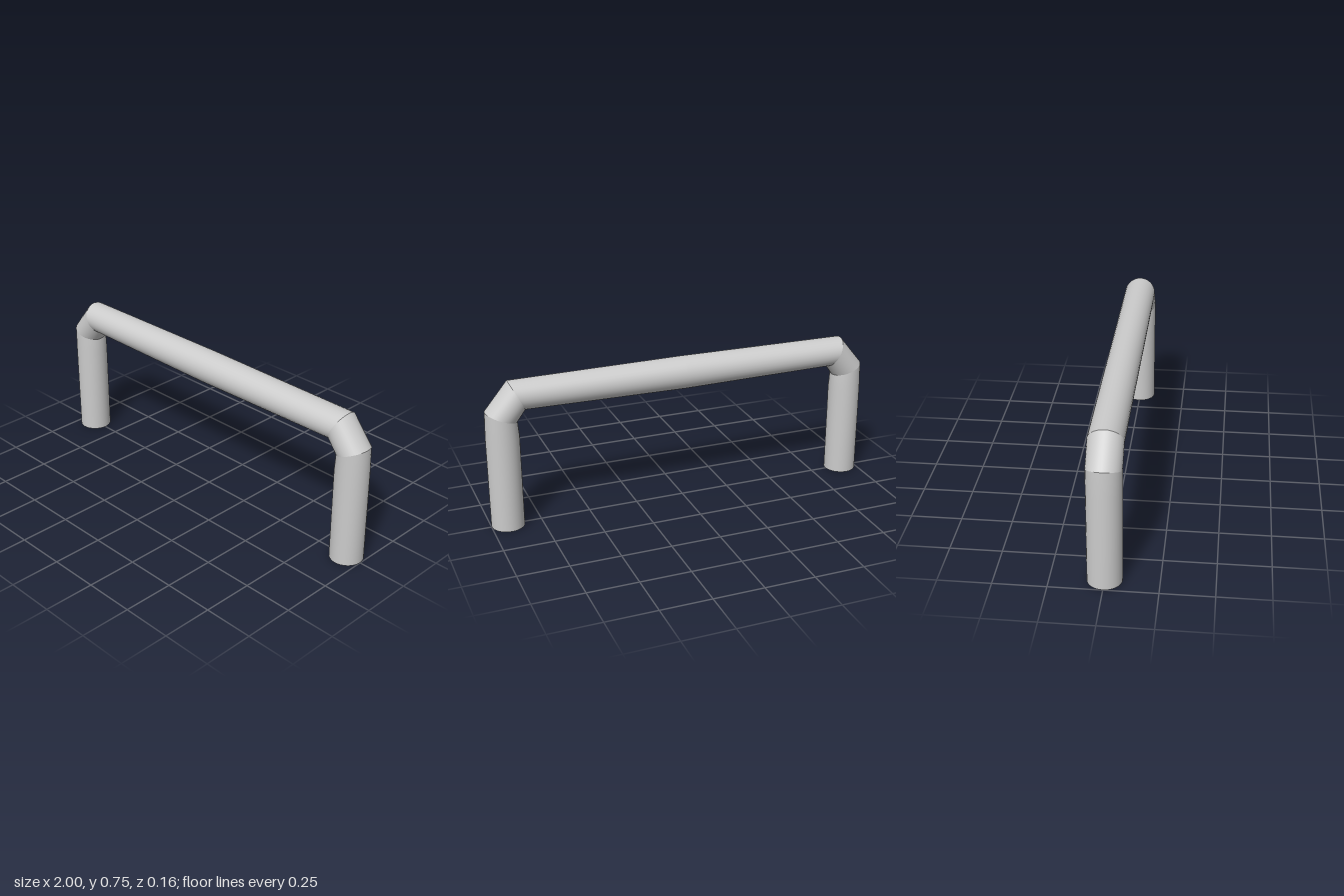
import * as THREE from 'three';

const RADIUS = 0.082;
const SIDES = 32;
const material = new THREE.MeshStandardMaterial({ color: 0xcccccc });

// Circular rings along the path: centre x, y and heading (degrees from straight up, turning to -x).
const foot = { x: 0.917, y: 0, a: 0 };
const neck = { x: 0.917, y: 0.47, a: 0 };
const lowerMitre = { x: 0.918, y: 0.573, a: 21 };
const upperMitre = { x: 0.84, y: 0.671, a: 63 };
const middle = { x: 0, y: 0.669, a: 90 };
const mirror = (r) => ({ x: -r.x, y: r.y, a: 180 - r.a });

// Joins consecutive rings into one smooth open tube.
function tube(name, rings) {
  const positions = [];
  const indices = [];
  for (const { x, y, a } of rings) {
    const heading = THREE.MathUtils.degToRad(a);
    for (let i = 0; i < SIDES; i++) {
      const t = (i / SIDES) * Math.PI * 2;
      const out = RADIUS * Math.cos(t);
      positions.push(x + out * Math.cos(heading), y + out * Math.sin(heading), RADIUS * Math.sin(t));
    }
  }
  for (let r = 0; r < rings.length - 1; r++) {
    for (let i = 0; i < SIDES; i++) {
      const j = (i + 1) % SIDES;
      const a = r * SIDES + i;
      const b = r * SIDES + j;
      indices.push(a, a + SIDES, b, b, a + SIDES, b + SIDES);
    }
  }
  const geometry = new THREE.BufferGeometry();
  geometry.setAttribute('position', new THREE.Float32BufferAttribute(positions, 3));
  geometry.setIndex(indices);
  geometry.computeVertexNormals();
  const mesh = new THREE.Mesh(geometry, material);
  mesh.name = name;
  return mesh;
}

export function createModel() {
  const group = new THREE.Group();
  group.name = 'handle';

  // Grip bar, slimmer towards its mitred ends
  group.add(tube('gripBar', [upperMitre, middle, mirror(upperMitre)]));

  // Legs, chamfered elbows and flat feet
  for (const side of ['left', 'right']) {
    const path = (rings) => (side === 'left' ? rings : rings.map(mirror).reverse());
    group.add(tube(side + 'Leg', path([foot, neck, lowerMitre])));
    group.add(tube(side + 'Elbow', path([lowerMitre, upperMitre])));

    const cap = new THREE.Mesh(new THREE.CircleGeometry(RADIUS, SIDES), material);
    cap.name = side + 'FootCap';
    cap.rotation.x = Math.PI / 2;
    cap.position.x = side === 'left' ? foot.x : -foot.x;
    group.add(cap);
  }
  return group;
}
